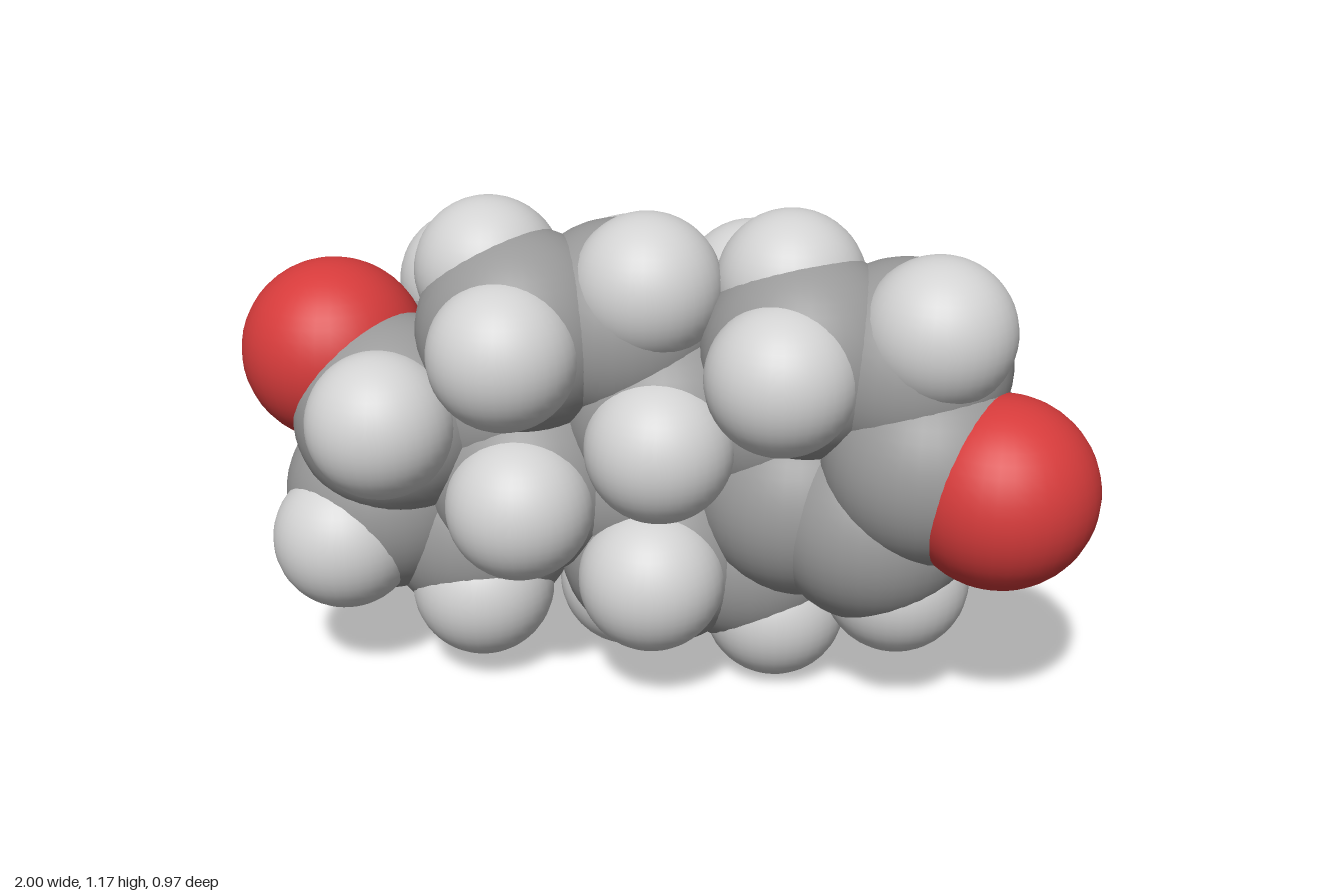
import * as THREE from 'three';

const V = (a) => new THREE.Vector3(...a);

// Carbon skeleton: number -> [x, y, z, attached hydrogens]
const CARBONS = {
  1: [0.335, 0.85, 0.10, 2], 2: [0.552, 0.83, 0.07, 2], 3: [0.615, 0.63, 0.13, 0],
  4: [0.495, 0.455, 0.085, 1], 5: [0.315, 0.48, 0.035, 0], 6: [0.195, 0.30, -0.04, 2],
  7: [-0.01, 0.32, 0.05, 2], 8: [-0.105, 0.49, 0.01, 1], 9: [0.01, 0.67, 0.07, 1],
  10: [0.215, 0.685, -0.01, 0], 11: [-0.105, 0.875, 0.05, 2], 12: [-0.315, 0.868, 0.138, 2],
  13: [-0.40, 0.69, 0.06, 0], 14: [-0.315, 0.505, 0.115, 1], 15: [-0.457, 0.345, 0.06, 2],
  16: [-0.67, 0.43, 0.115, 2], 17: [-0.615, 0.65, 0.165, 1], 18: [-0.475, 0.735, -0.16, 3],
  19: [0.218, 0.735, -0.235, 3],
};
const OXYGENS = { ketoneOxygen: [0.782, 0.595, 0.19], hydroxylOxygen: [-0.783, 0.775, 0.10] };
const HYDROXYL_HYDROGEN = [-0.825, 0.73, -0.035];

const BOND_LIMIT = 0.28;
const CH_LENGTH = 0.157;

export function createModel() {
  const model = new THREE.Group();
  model.name = 'molecule';

  const atomKind = (name, color, radius) => {
    const material = new THREE.MeshStandardMaterial({ color });
    material.name = name;
    return { material, geometry: new THREE.SphereGeometry(radius, 36, 24) };
  };
  const carbon = atomKind('carbon grey', 0x999999, 0.239);
  const hydrogen = atomKind('hydrogen light grey', 0xd2d2d2, 0.17);
  const oxygen = atomKind('oxygen red', 0xd63b3b, 0.217);

  const addAtom = (name, kind, position) => {
    const mesh = new THREE.Mesh(kind.geometry, kind.material);
    mesh.name = name;
    mesh.position.copy(position);
    model.add(mesh);
  };

  // Heavy atoms
  const heavy = [];
  for (const [id, [x, y, z, count]] of Object.entries(CARBONS)) {
    heavy.push({ name: `carbon${id}`, kind: carbon, p: V([x, y, z]), count });
  }
  for (const [name, p] of Object.entries(OXYGENS)) {
    heavy.push({ name, kind: oxygen, p: V(p), count: 0 });
  }
  heavy.forEach((a) => addAtom(a.name, a.kind, a.p));

  const neighbours = (a) => heavy.filter((b) => b !== a && b.p.distanceTo(a.p) < BOND_LIMIT);
  const direction = (a, b) => b.p.clone().sub(a.p).normalize();

  // Directions of the hydrogens that complete each carbon
  function hydrogenDirections(atom) {
    const near = neighbours(atom);
    const bonds = near.map((b) => direction(atom, b));
    const away = bonds.reduce((s, d) => s.sub(d), new THREE.Vector3()).normalize();
    if (atom.count === 1) return [away];
    if (atom.count === 2) {
      const normal = bonds[0].clone().cross(bonds[1]).normalize();
      return [1, -1].map((s) =>
        away.clone().multiplyScalar(0.58).addScaledVector(normal, 0.815 * s));
    }
    // Methyl group, staggered against the bonds of its parent carbon
    const parent = near[0];
    return neighbours(parent).filter((b) => b !== atom).map((b) => {
      const side = direction(parent, b);
      side.addScaledVector(away, -side.dot(away)).normalize();
      return away.clone().multiplyScalar(0.333).addScaledVector(side, -0.943);
    });
  }

  for (const atom of heavy.filter((a) => a.count > 0)) {
    hydrogenDirections(atom).forEach((d, i) =>
      addAtom(`${atom.name}Hydrogen${i + 1}`, hydrogen,
        atom.p.clone().addScaledVector(d, CH_LENGTH)));
  }
  addAtom('hydroxylHydrogen', hydrogen, V(HYDROXYL_HYDROGEN));

  return model;
}
